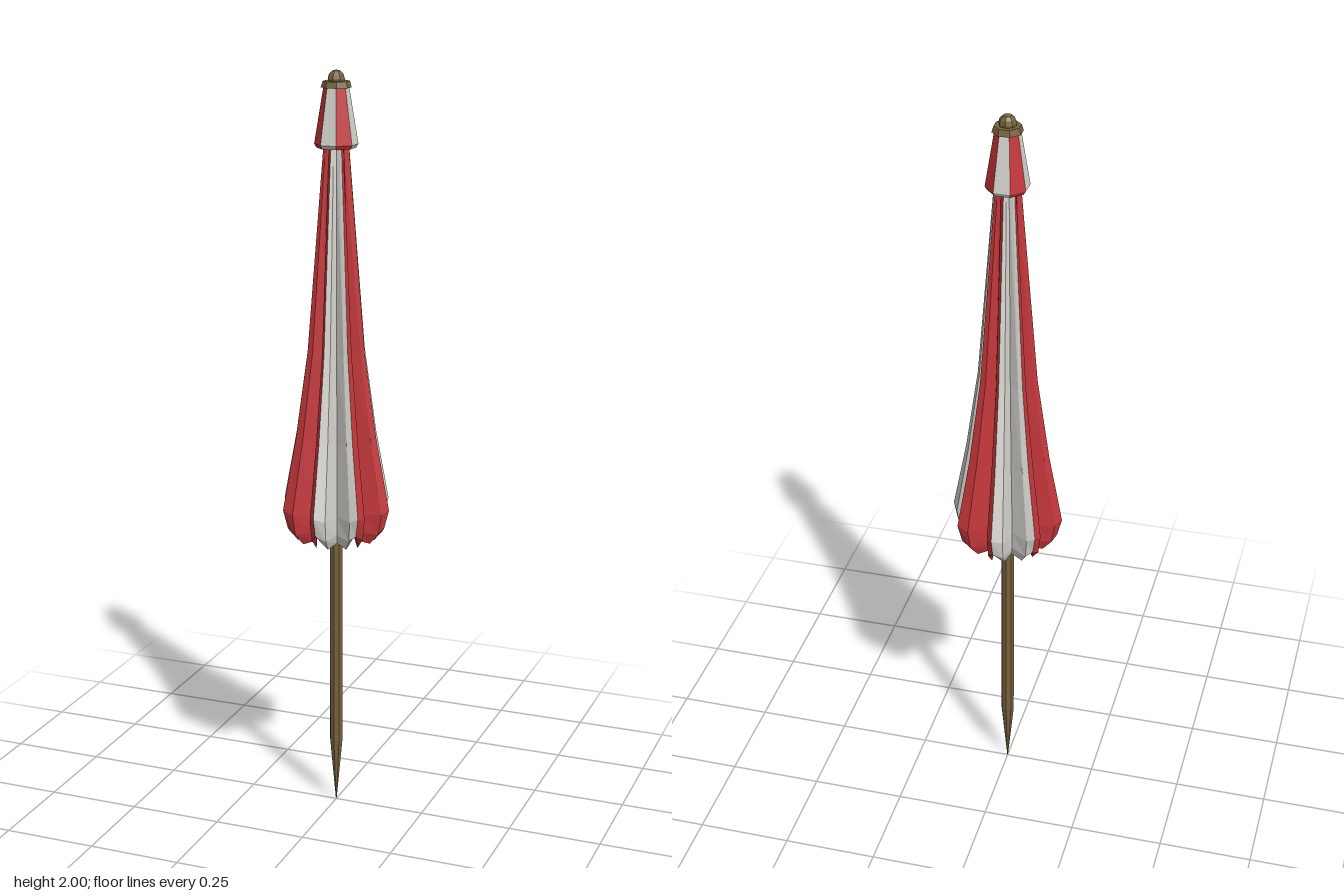
import * as THREE from 'three';

const flat = (name, color) => {
  const m = new THREE.MeshStandardMaterial({ color, flatShading: true, side: THREE.DoubleSide });
  m.name = name;
  return m;
};

// Point at a radius, height and compass angle (degrees, counter-clockwise from above)
const polar = (r, y, deg) => {
  const a = THREE.MathUtils.degToRad(deg);
  return [r * Math.cos(a), y, -r * Math.sin(a)];
};

// Surface through rows of points; rows run downward, points run counter-clockwise
function sheet(rows) {
  const n = rows[0].length, index = [];
  for (let i = 0; i < rows.length - 1; i++) {
    for (let j = 0; j < n - 1; j++) {
      const a = i * n + j, b = a + n;
      index.push(a, b, b + 1, a, b + 1, a + 1);
    }
  }
  const g = new THREE.BufferGeometry();
  g.setAttribute('position', new THREE.Float32BufferAttribute(rows.flat(2), 3));
  g.setIndex(index);
  g.computeVertexNormals();
  return g;
}

export function createModel() {
  const group = new THREE.Group();
  const red = flat('red fabric', 0xc4373b);
  const white = flat('white fabric', 0xd8d6d0);
  const wood = flat('brown wood', 0x78623f);

  const add = (name, geometry, material, y = 0) => {
    const mesh = new THREE.Mesh(geometry, material);
    mesh.name = name;
    mesh.position.y = y;
    group.add(mesh);
    return mesh;
  };

  // Folded canopy levels: height and radius at the rib, the fold's side and the valley
  const levels = [
    { rib: [1.95, 0.025], side: [1.95, 0.024], valley: [1.95, 0.022] },
    { rib: [1.8, 0.036], side: [1.8, 0.033], valley: [1.8, 0.027] },
    { rib: [1.28, 0.08], side: [1.28, 0.073], valley: [1.28, 0.049] },
    { rib: [1.05, 0.114], side: [1.05, 0.104], valley: [1.05, 0.066] },
    { rib: [0.86, 0.151], side: [0.85, 0.137], valley: [0.85, 0.088] },
    { rib: [0.81, 0.138], side: [0.795, 0.128], valley: [0.8, 0.088] },
    { rib: [0.805, 0.125], side: [0.765, 0.103], valley: [0.775, 0.078] },
  ];

  for (let k = 0; k < 8; k++) {
    const start = k * 45;
    const at = ([y, r], deg) => polar(r, y, start + deg);

    // Canopy panel, creased inward between two ribs
    const rows = levels.map(({ rib, side, valley }) => [
      at(rib, -2), at(side, 9), at(valley, 22.5), at(side, 36), at(rib, 43),
    ]);
    add('canopyPanel', sheet(rows), k % 2 ? red : white);

    // Top cap facet with a turned-in lower edge
    const cap = [[1.96, 0.032], [1.815, 0.056], [1.805, 0.05], [1.815, 0.034]];
    const facet = cap.map((p) => [at(p, -24), at(p, 21)]);
    add('capPanel', sheet(facet), k % 2 ? red : white);
  }

  // Pole and ground spike
  add('pole', new THREE.CylinderGeometry(0.018, 0.018, 1.78, 8), wood, 1.07);
  add('spike', new THREE.CylinderGeometry(0.018, 0.001, 0.18, 8), wood, 0.09);

  // Finial: collar and knob
  const collar = add('finialCollar', new THREE.CylinderGeometry(0.034, 0.039, 0.016, 8), wood, 1.964);
  collar.rotation.y = Math.PI / 8;
  add('finialKnob', new THREE.SphereGeometry(0.023, 8, 6), wood, 1.977);

  return group;
}
